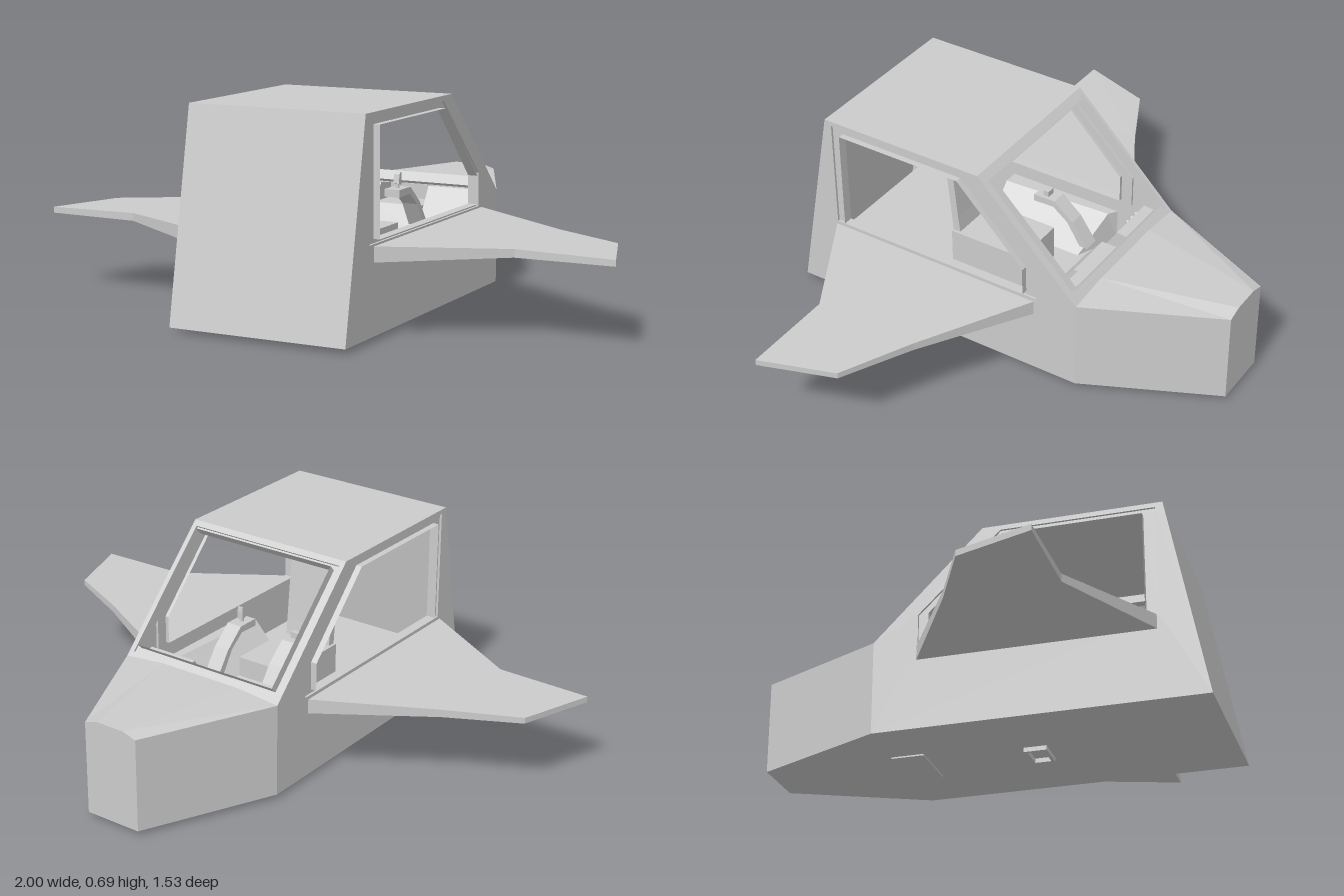
import * as THREE from 'three';

const mat = new THREE.MeshStandardMaterial({ color: 0xcccccc, flatShading: true, side: THREE.DoubleSide });

function add(parent, name, geo, x = 0, y = 0, z = 0) {
  const m = new THREE.Mesh(geo, mat);
  m.name = name;
  m.position.set(x, y, z);
  parent.add(m);
  return m;
}
const box = (p, name, w, h, d, x, y, z) => add(p, name, new THREE.BoxGeometry(w, h, d), x, y, z);

// Skin a list of equal-length rings of [x, y, z]; optionally closed around and capped.
function loft(rings, closed = true, caps = false) {
  const pos = [];
  const n = rings[0].length;
  for (let r = 0; r < rings.length - 1; r++) {
    for (let i = 0; i < (closed ? n : n - 1); i++) {
      const j = (i + 1) % n;
      const a = rings[r][i], b = rings[r][j], c = rings[r + 1][j], d = rings[r + 1][i];
      pos.push(...a, ...b, ...c, ...a, ...c, ...d);
    }
  }
  if (caps) {
    const first = rings[0], last = rings[rings.length - 1];
    for (let i = 1; i < n - 1; i++) {
      pos.push(...first[0], ...first[i + 1], ...first[i]);
      pos.push(...last[0], ...last[i], ...last[i + 1]);
    }
  }
  const g = new THREE.BufferGeometry();
  g.setAttribute('position', new THREE.Float32BufferAttribute(pos, 3));
  g.computeVertexNormals();
  return g;
}

// Profiles as [z, y]
const hullProfile = [[-0.325, 0.015], [0.765, 0.015], [0.635, 0.693], [0.04, 0.693], [-0.325, 0.33]];
const frameOuter = [[0.61, 0.677], [0.1, 0.677], [-0.175, 0.41], [-0.175, 0.297], [0.61, 0.297]];
const frameInner = [[0.57, 0.655], [0.11, 0.655], [-0.135, 0.405], [-0.135, 0.31], [0.57, 0.31]];
const at = (pts, x) => pts.map(([z, y]) => [x, y, z]);
const HALF = 0.305;

// Side wall with its window surround and projecting rim
function sideWall(s) {
  const g = new THREE.Group();
  g.name = s > 0 ? 'leftSide' : 'rightSide';
  const shape = new THREE.Shape(hullProfile.map(p => new THREE.Vector2(...p)));
  shape.holes.push(new THREE.Path(frameOuter.map(p => new THREE.Vector2(...p))));
  add(g, 'sidePanel', new THREE.ShapeGeometry(shape).rotateY(-Math.PI / 2), s * HALF);
  add(g, 'windowSurround', loft([at(frameOuter, s * HALF), at(frameOuter, s * 0.297), at(frameInner, s * 0.297)]));
  add(g, 'windowRim', loft([at(frameInner, s * 0.285), at(frameInner, s * 0.318)]));
  return g;
}

// Wing: three sections from root to swept tip
function wing(s) {
  const section = (x0, z0, x1, z1, y0, y1) =>
    [[s * x0, y0, z0], [s * x0, y1, z0], [s * x1, y1, z1], [s * x1, y0, z1]];
  const rings = [
    section(0.316, -0.175, 0.316, 0.605, 0.246, 0.295),
    section(0.68, 0.035, 0.68, 0.4, 0.258, 0.284),
    section(0.915, 0.15, 1, 0.4, 0.26, 0.28),
  ];
  return loft(rings, true, true);
}

// Rectangle on the sloping windscreen plane, t running down the slope, d outward
function screenLoop(t0, t1, w, d) {
  const p = (t, x) => [x, 0.693 - 0.363 * t + 0.709 * d, 0.04 - 0.365 * t - 0.705 * d];
  return [p(t0, -w), p(t0, w), p(t1, w), p(t1, -w)];
}

// Prism from a side profile of [z, y], spanning x0 to x1
const prism = (pts, x0, x1) => loft([at(pts, x0), at(pts, x1)], true, true);

function cockpit() {
  const g = new THREE.Group();
  g.name = 'cockpit';
  box(g, 'cabinFloor', 0.6, 0.01, 1.04, 0, 0.13, 0.19);
  box(g, 'bulkhead', 0.6, 0.31, 0.006, 0, 0.175, -0.322);

  // Seat
  box(g, 'seatBase', 0.2, 0.12, 0.28, 0, 0.195, 0.15);
  add(g, 'seatBack', prism([[0.27, 0.31], [0.295, 0.31], [0.32, 0.56], [0.295, 0.56]], -0.09, 0.09));
  add(g, 'seatBackLower', prism([[0.255, 0.2], [0.285, 0.2], [0.295, 0.31], [0.27, 0.31]], -0.09, 0.09));

  // Instrument panels, the middle one set lower and nearer the seat
  for (const s of [-1, 1]) {
    add(g, 'instrumentPanel', prism([[-0.315, 0.33], [-0.24, 0.34], [-0.17, 0.23], [-0.315, 0.2]], s * 0.09, s * 0.27));
    for (let i = 0; i < 3 && s < 0; i++) {
      add(g, 'gauge', new THREE.CylinderGeometry(0.008, 0.008, 0.008, 12), -0.25 + i * 0.028, 0.312, -0.22)
        .rotation.x = 1;
    }
    // Sloping side consoles
    add(g, 'sideConsole', loft([
      [[s * 0.3, 0.13, -0.12], [s * 0.3, 0.25, -0.12], [s * 0.27, 0.25, -0.1], [s * 0.14, 0.13, -0.055]],
      [[s * 0.3, 0.13, 0.3], [s * 0.3, 0.25, 0.3], [s * 0.25, 0.25, 0.3], [s * 0.14, 0.13, 0.3]],
    ], true, true));
    // Control arms rising beside the seat
    const arm = [[0.08, 0.35], [0.08, 0.375], [0, 0.375], [-0.07, 0.315], [-0.13, 0.23], [-0.1, 0.23], [-0.05, 0.31], [0.005, 0.352]];
    add(g, 'controlArm', loft([at(arm, s * 0.085), at(arm, s * 0.14)]));
    for (const x of [0.085, 0.14]) {
      const sh = new THREE.Shape(arm.map(p => new THREE.Vector2(...p)));
      add(g, 'controlArmFace', new THREE.ShapeGeometry(sh).rotateY(-Math.PI / 2), s * x);
    }
  }
  box(g, 'centrePanelTop', 0.18, 0.02, 0.13, 0, 0.27, -0.25);
  add(g, 'centrePanel', prism([[-0.185, 0.28], [-0.12, 0.2], [-0.12, 0.18], [-0.2, 0.26]], -0.09, 0.09));

  // Control stick and throttle
  add(g, 'stickShaft', new THREE.CylinderGeometry(0.006, 0.008, 0.03, 8), 0.112, 0.385, 0.04);
  add(g, 'stickGrip', prism([[0.03, 0.385], [0.05, 0.39], [0.045, 0.42], [0.033, 0.43], [0.03, 0.41]], 0.102, 0.122));
  box(g, 'throttle', 0.03, 0.02, 0.02, -0.112, 0.385, 0.04);
  return g;
}

export function createModel() {
  const model = new THREE.Group();
  model.name = 'shuttle';

  // Cabin shell: floor, sloping rear, roof
  const hull = new THREE.Group();
  hull.name = 'hull';
  model.add(hull);
  const skin = hullProfile.slice(0, 4);
  add(hull, 'cabinShell', loft([at(skin, -HALF), at(skin, HALF)], false));

  // Windscreen surround and projecting rim
  add(hull, 'windscreenSurround', loft([
    screenLoop(0, 1, HALF, 0), screenLoop(0.04, 0.96, 0.288, 0), screenLoop(0.04, 0.96, 0.288, -0.008),
    screenLoop(0.07, 0.92, 0.272, -0.008),
  ]));
  add(hull, 'windscreenRim', loft([screenLoop(0.07, 0.92, 0.272, -0.02), screenLoop(0.07, 0.92, 0.272, 0.02)]));

  // Tapered nose with a slightly raised deck
  const noseRing = (w, z) => [[-1, 0.015], [-1, 0.33], [-0.5, 0.345], [0.5, 0.345], [1, 0.33], [1, 0.015]]
    .map(([x, y]) => [x * w, y, z]);
  add(hull, 'nose', loft([noseRing(HALF, -0.325), noseRing(0.1, -0.765)], true, true));

  for (const s of [-1, 1]) {
    model.add(sideWall(s));
    add(model, s > 0 ? 'leftWing' : 'rightWing', wing(s));
  }
  model.add(cockpit());

  // Belly hatch frame and front seam strip
  const rect = (w, h) => [[-w, -h], [w, -h], [w, h], [-w, h]].map(p => new THREE.Vector2(...p));
  const hatch = new THREE.Shape(rect(0.055, 0.038));
  hatch.holes.push(new THREE.Path(rect(0.044, 0.027)));
  const hatchGeo = new THREE.ExtrudeGeometry(hatch, { depth: 0.016, bevelEnabled: false }).rotateX(-Math.PI / 2);
  add(model, 'bellyHatch', hatchGeo, 0, 0, 0.14);
  box(model, 'bellyStrip', 0.2, 0.005, 0.11, 0, 0.0125, -0.275);
  return model;
}
